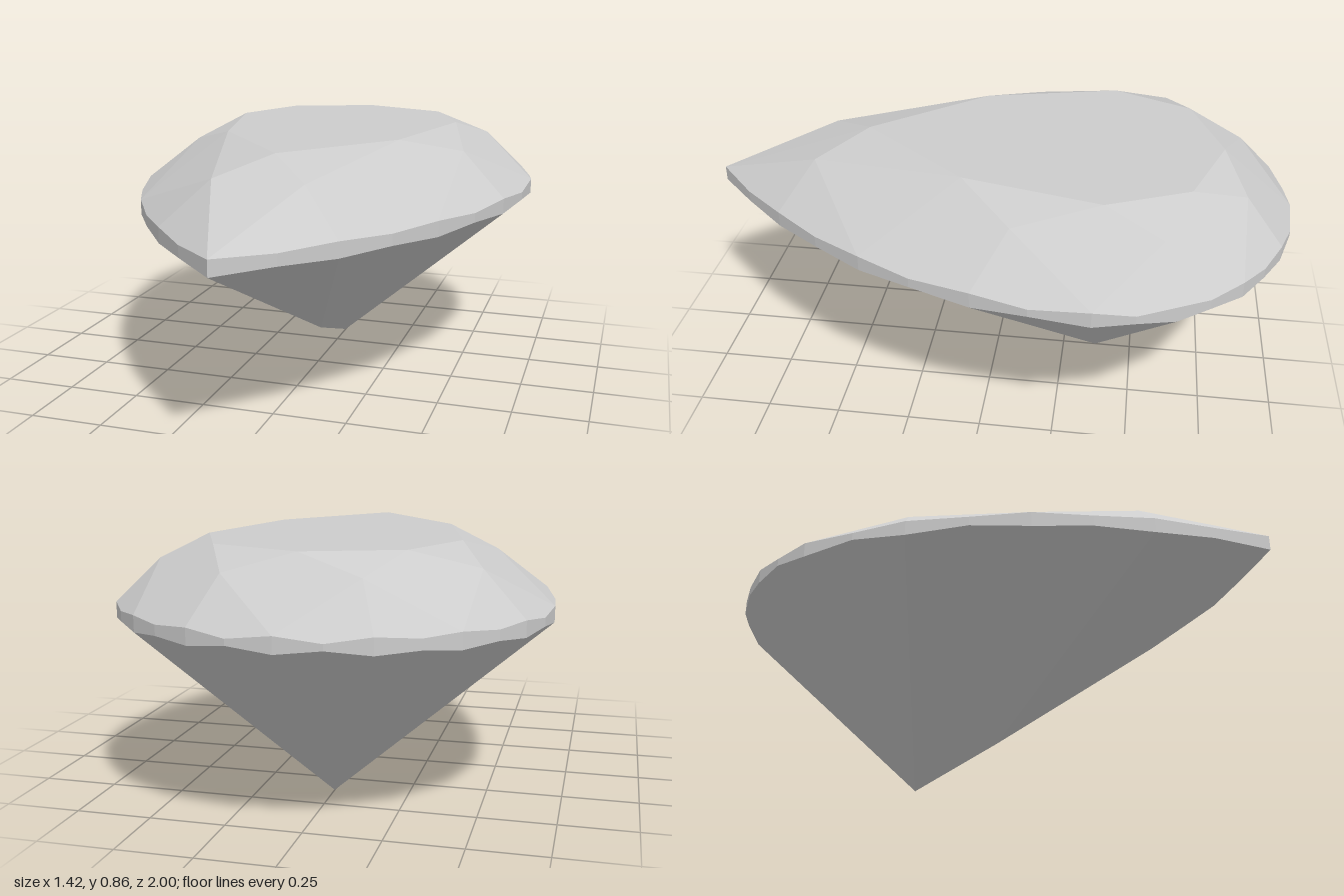
import * as THREE from 'three';

const TABLE_Y = 0.862, STAR_Y = 0.803, GIRDLE_TOP = 0.665, GIRDLE_BOTTOM = 0.613;

// Half outlines as [x, z], running from the pointed front round to the back
const girdleHalf = [
  [0, 1], [0.15, 0.86], [0.285, 0.71], [0.405, 0.55], [0.51, 0.38], [0.595, 0.2],
  [0.66, 0], [0.7, -0.18], [0.71, -0.37], [0.69, -0.5], [0.645, -0.62], [0.58, -0.72],
  [0.49, -0.82], [0.39, -0.89], [0.27, -0.95], [0.14, -0.99], [0, -1],
];
const tableHalf = [[0, 0.45], [0.31, 0.08], [0.42, -0.38], [0.3, -0.65], [0, -0.76]];
const starHalf = [[0.15, 0.61], [0.5, -0.1], [0.51, -0.57], [0.21, -0.83]];

// Mirror a half outline into a closed ring at height y
function ring(half, y) {
  const mirrored = half.filter(([x, z], i) => x > 0).reverse().map(([x, z]) => [-x, z]);
  return [...half, ...mirrored].map(([x, z]) => new THREE.Vector3(x, y, z));
}

// Move p vertically onto the plane through a, b and c
function dropOntoPlane(p, a, b, c) {
  const n = b.clone().sub(a).cross(c.clone().sub(a));
  p.y = a.y - (n.x * (p.x - a.x) + n.z * (p.z - a.z)) / n.y;
}

// Flat facets, each a convex loop of points, turned to face away from the stone's middle
function facetMesh(name, facets, material) {
  const middle = new THREE.Vector3(0, 0.5, -0.1);
  const points = [];
  for (const f of facets) {
    for (let i = 1; i < f.length - 1; i++) {
      const [a, b, c] = [f[0], f[i], f[i + 1]];
      const n = b.clone().sub(a).cross(c.clone().sub(a));
      points.push(...(n.dot(a.clone().sub(middle)) > 0 ? [a, b, c] : [a, c, b]));
    }
  }
  const geometry = new THREE.BufferGeometry().setFromPoints(points);
  geometry.computeVertexNormals();
  const mesh = new THREE.Mesh(geometry, material);
  mesh.name = name;
  return mesh;
}

export function createModel() {
  const stone = new THREE.MeshStandardMaterial({ color: 0xcccccc, flatShading: true });
  stone.name = 'pale grey stone';

  const table = ring(tableHalf, TABLE_Y);
  const star = ring(starHalf, STAR_Y);
  const upper = ring(girdleHalf, GIRDLE_TOP);
  const lower = ring(girdleHalf, GIRDLE_BOTTOM);
  const culet = new THREE.Vector3(0, 0, -0.37);
  const keel = new THREE.Vector3(0, 0.122, -0.03);

  const stars = [], kites = [], halves = [], girdle = [], pavilion = [];

  // Crown: star facets under the table, then kites reaching the girdle
  for (let i = 0; i < 8; i++) {
    stars.push([table[i], table[(i + 1) % 8], star[i]]);
    const tip = upper[i * 4];
    kites.push([table[i], star[i], tip], [table[i], star[(i + 7) % 8], tip]);
  }

  // Upper halves and pavilion: each facet spans two girdle steps
  for (let m = 0; m < 16; m++) {
    const [a, b, c] = [2 * m, 2 * m + 1, (2 * m + 2) % 32];
    const s = star[m >> 1];
    const apex = m < 2 || m > 13 ? keel : culet;
    dropOntoPlane(upper[b], s, upper[a], upper[c]);
    dropOntoPlane(lower[b], apex, lower[a], lower[c]);
    halves.push([s, upper[a], upper[b], upper[c]]);
    pavilion.push([apex, lower[a], lower[b], lower[c]]);
  }
  // Side facets joining the front keel to the culet
  pavilion.push([culet, keel, lower[4]], [culet, keel, lower[28]]);

  // Thin scalloped girdle band
  for (let k = 0; k < 32; k++) {
    const n = (k + 1) % 32;
    girdle.push([lower[k], lower[n], upper[n], upper[k]]);
  }

  const group = new THREE.Group();
  group.name = 'pearCutGem';
  group.add(
    facetMesh('table', [table], stone),
    facetMesh('starFacets', stars, stone),
    facetMesh('kiteFacets', kites, stone),
    facetMesh('upperHalfFacets', halves, stone),
    facetMesh('girdle', girdle, stone),
    facetMesh('pavilion', pavilion, stone),
  );
  return group;
}
